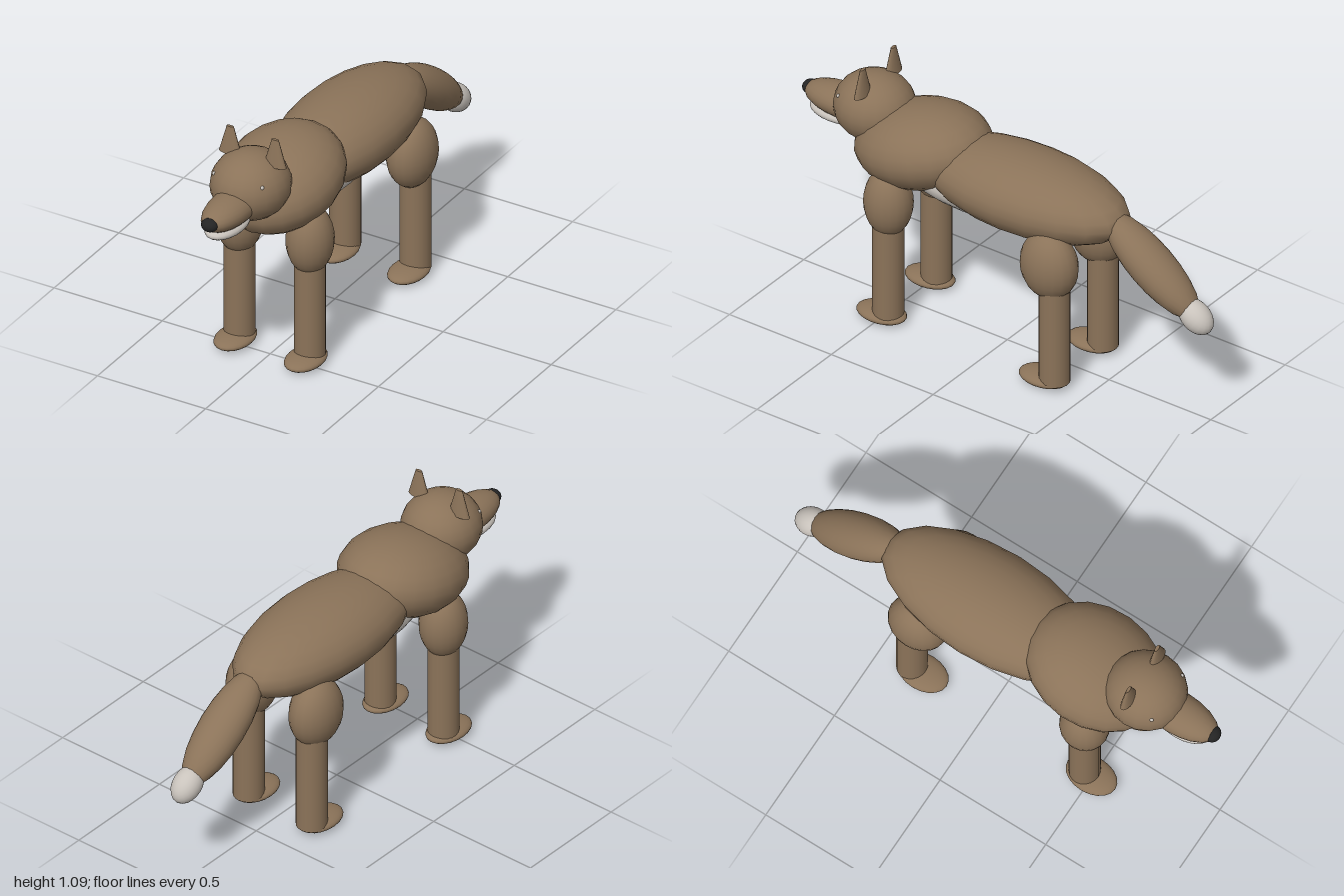
import * as THREE from 'three';

export function createModel() {
  const model = new THREE.Group();
  model.name = 'fourLeggedAnimal';

  const mat = (name, color) => {
    const m = new THREE.MeshStandardMaterial({ color });
    m.name = name;
    return m;
  };
  const fur = mat('brownFur', 0x8b7359);
  const pale = mat('paleFur', 0xc9c3bc);
  const black = mat('noseBlack', 0x242424);

  const ball = new THREE.SphereGeometry(1, 20, 14);

  const add = (name, geometry, material, pos, parent = model) => {
    const mesh = new THREE.Mesh(geometry, material);
    mesh.name = name;
    mesh.position.set(...pos);
    parent.add(mesh);
    return mesh;
  };
  // Stretched sphere, optionally pitched about x
  const ellipsoid = (name, material, pos, radii, pitch = 0, parent = model) => {
    const mesh = add(name, ball, material, pos, parent);
    mesh.scale.set(...radii);
    mesh.rotation.x = pitch;
    return mesh;
  };

  // Torso
  ellipsoid('body', fur, [0, 0.75, -0.09], [0.23, 0.16, 0.49]);
  ellipsoid('chest', fur, [0, 0.775, 0.41], [0.245, 0.172, 0.3], 0.22);
  ellipsoid('belly', pale, [0, 0.69, 0.13], [0.165, 0.103, 0.4]);

  // Head
  ellipsoid('head', fur, [0, 0.866, 0.65], [0.163, 0.145, 0.17]);
  ellipsoid('muzzle', fur, [0, 0.83, 0.8], [0.088, 0.066, 0.187]);
  ellipsoid('lowerJaw', pale, [0, 0.77, 0.83], [0.075, 0.035, 0.13]);
  ellipsoid('nose', black, [0, 0.833, 0.967], [0.036, 0.028, 0.032]);

  // Tail with pale tip
  ellipsoid('tail', fur, [0, 0.62, -0.71], [0.097, 0.086, 0.275], -0.64);
  ellipsoid('tailTip', pale, [0, 0.462, -0.927], [0.06, 0.06, 0.085], -0.64);

  const earShape = new THREE.CylinderGeometry(0.016, 0.051, 0.12, 16);
  const shinShape = new THREE.CylinderGeometry(0.064, 0.064, 0.48, 20);

  for (const [side, s] of [['left', 1], ['right', -1]]) {
    // Ears and eyes
    const ear = add(side + 'Ear', earShape, fur, [s * 0.104, 1.03, 0.635]);
    ear.scale.z = 0.43;
    ellipsoid(side + 'Eye', pale, [s * 0.112, 0.927, 0.749], [0.007, 0.008, 0.008]);

    // Legs: shoulder or thigh, shin and paw
    for (const [end, thighZ, thighR, shinZ, pawZ] of [
      ['Front', 0.465, 0.103, 0.466, 0.498],
      ['Hind', -0.325, 0.128, -0.351, -0.3],
    ]) {
      const leg = new THREE.Group();
      leg.name = side + end + 'Leg';
      leg.position.x = s * 0.163;
      model.add(leg);
      ellipsoid('upperLeg', fur, [0, 0.565, thighZ], [0.097, 0.151, thighR], 0, leg);
      add('lowerLeg', shinShape, fur, [0, 0.27, shinZ], leg);
      ellipsoid('paw', fur, [0, 0.03, pawZ], [0.077, 0.028, 0.112], 0, leg);
    }
  }
  return model;
}
